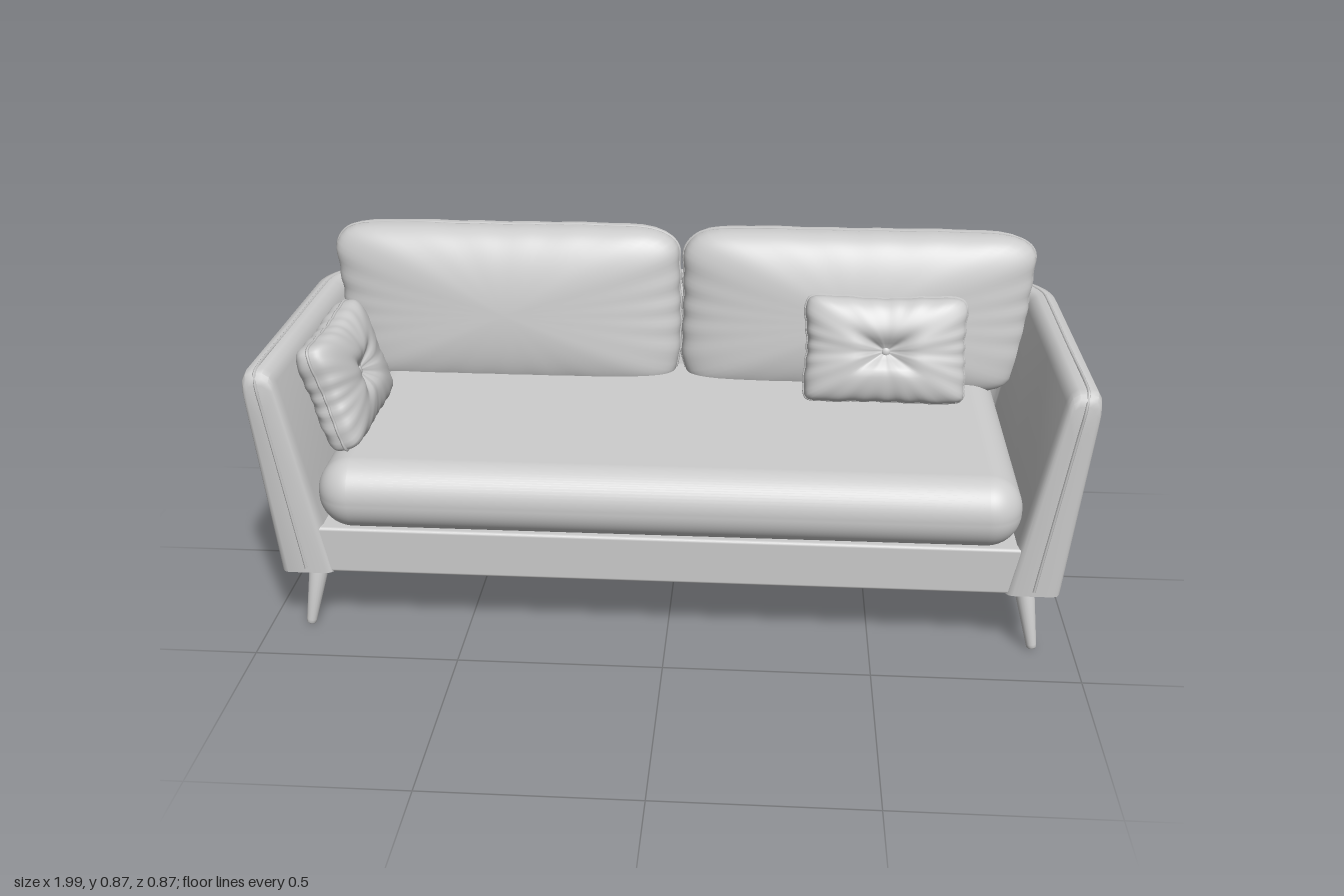
import * as THREE from 'three';
import { mergeVertices, toCreasedNormals } from 'three/addons/utils/BufferGeometryUtils.js';
import { RoundedBoxGeometry } from 'three/addons/geometries/RoundedBoxGeometry.js';

const material = new THREE.MeshStandardMaterial({ color: 0xcccccc });
const openMaterial = new THREE.MeshStandardMaterial({ color: 0xcccccc, side: THREE.DoubleSide });

function add(parent, name, geometry, mat = material) {
  const mesh = new THREE.Mesh(geometry, mat);
  mesh.name = name;
  parent.add(mesh);
  return mesh;
}

function tube(points, radius, closed = false) {
  const curve = new THREE.CatmullRomCurve3(points, closed);
  return new THREE.TubeGeometry(curve, points.length * 3, radius, 5, closed);
}

// Plan of the wrap-around shell: from the left arm front, round the back, to the right arm front
const R = 0.19;
function planPath() {
  const half = [];
  // s shrinks the section to round off the arm front
  for (const [z, s] of [[0.402, 0], [0.402, 0.7], [0.398, 0.85], [0.389, 0.95], [0.37, 1], [0.1, 1]]) {
    half.push({ x: 1, z, nx: 1, nz: 0, s });
  }
  for (let i = 0; i <= 12; i++) {
    const a = (i / 12) * Math.PI / 2;
    const nx = Math.cos(a), nz = -Math.sin(a);
    half.push({ x: 0.81 + R * nx, z: -0.245 + R * nz, nx, nz, s: 1 });
  }
  const mirrored = half.map((p) => ({ ...p, x: -p.x, nx: -p.nx })).reverse();
  return [half, [...half, ...mirrored]];
}

// Point on the shell: t = 1 outside, -1 inside; walls lean outward and thin toward the top
function shellPoint(p, t, y) {
  const k = (0.7 - y) / 0.525;
  const lean = 0.05 * Math.abs(p.nx) + 0.03 * Math.abs(p.nz);
  const thick = 0.08 + 0.055 * k;
  const o = -lean * k - thick * (1 - t) / 2;
  return new THREE.Vector3(p.x + p.nx * o, y, p.z + p.nz * o);
}

function shellGeometry(path) {
  const section = [[1, 0.172], [1, 0.4], [1, 0.62], [0.98, 0.655], [0.86, 0.682], [0.6, 0.697], [0.2, 0.702],
    [-0.5, 0.702], [-0.85, 0.692], [-1, 0.67], [-1, 0.4], [-1, 0.172]];
  const n = section.length, pos = [], idx = [];
  path.forEach((p, i) => {
    for (const [t, y] of section) {
      pos.push(...shellPoint(p, t * p.s, 0.172 + (y - 0.172) * (0.8 + 0.2 * p.s)).toArray());
    }
    if (i === path.length - 1) return;
    for (let j = 0; j < n; j++) {
      const a = i * n + j, b = i * n + (j + 1) % n;
      idx.push(a, a + n, b, b, a + n, b + n);
    }
  });
  const g = new THREE.BufferGeometry();
  g.setAttribute('position', new THREE.Float32BufferAttribute(pos, 3));
  g.setIndex(idx);
  return toCreasedNormals(g, 0.75);
}

// Rounded seat cushion with its flat underside left open
function seatGeometry() {
  const g = mergeVertices(new RoundedBoxGeometry(1.69, 0.178, 0.76, 8, 0.085));
  const normal = g.attributes.normal, kept = [];
  for (let i = 0; i < g.index.count; i += 3) {
    const tri = [0, 1, 2].map((k) => g.index.getX(i + k));
    if (tri.some((v) => normal.getY(v) > -0.95)) kept.push(...tri);
  }
  g.setIndex(kept);
  return g;
}

// Stuffed cushion facing +z, with a piped seam round its outline
function cushion(name, { w, h, d, n, pinch = 0, wave, pleat, tuft = 0, fullness, shape = (v) => v }) {
  const group = new THREE.Group();
  group.name = name;
  const place = (a, c) => {
    const r = Math.sqrt(Math.max(0, 1 - c * c));
    const cx = Math.cos(a), sy = Math.sin(a);
    let f = 1 / Math.pow(Math.abs(cx) ** n + Math.abs(sy) ** n, 1 / n);
    f *= 1 - pinch * Math.cos(2 * a) ** 2 + wave * Math.sin(9 * a) * Math.sin(14 * a + 1);
    let z = d * Math.sign(c) * Math.abs(c) ** fullness;
    z *= 1 + pleat * Math.sin(23 * a) * r ** 8;
    z *= 1 - tuft * Math.exp(-((r / 0.25) ** 2)) - tuft * 0.35 * (0.5 + 0.5 * Math.cos(8 * a)) * r * Math.exp(-r * 1.5);
    return shape(new THREE.Vector3(w * cx * f * r, h * sy * f * r, z));
  };
  let g = new THREE.SphereGeometry(1, 112, 48).rotateX(Math.PI / 2);
  const p = g.attributes.position;
  for (let i = 0; i < p.count; i++) {
    const c0 = THREE.MathUtils.clamp(p.getZ(i), -1, 1);
    const v = place(Math.atan2(p.getY(i), p.getX(i)), Math.sign(c0) * Math.abs(c0) ** 1.6);
    p.setXYZ(i, v.x, v.y, v.z);
  }
  g.deleteAttribute('uv');
  g.deleteAttribute('normal');
  g = mergeVertices(g, 1e-5);
  g.computeVertexNormals();
  add(group, 'padding', g);
  const seam = [];
  for (let i = 0; i < 80; i++) seam.push(place((i / 80) * Math.PI * 2, 0));
  add(group, 'piping', tube(seam, 0.004, true));
  if (tuft) {
    for (const s of [1, -1]) {
      const button = add(group, 'button', new THREE.SphereGeometry(0.011, 16, 10));
      button.scale.z = 0.5;
      button.position.z = s * d * (1 - tuft);
    }
  }
  return group;
}

// Tapered leg between two points
function leg(top, bottom) {
  const dir = top.clone().sub(bottom), len = dir.length();
  const profile = [[0, 0], [0.008, 0], [0.012, 0.004], [0.013, 0.012], [0.027, len], [0, len]];
  const g = new THREE.LatheGeometry(profile.map(([x, y]) => new THREE.Vector2(x, y)), 20);
  g.applyQuaternion(new THREE.Quaternion().setFromUnitVectors(new THREE.Vector3(0, 1, 0), dir.normalize()));
  return g.translate(bottom.x, bottom.y, bottom.z);
}

export function createModel() {
  const sofa = new THREE.Group();
  sofa.name = 'sofa';

  // Arms and back in one wrap-around shell
  const [half, path] = planPath();
  add(sofa, 'armsAndBack', shellGeometry(path));

  // Front rail and the seat, which dips slightly to the front
  add(sofa, 'frontRail', new RoundedBoxGeometry(1.74, 0.122, 0.11, 3, 0.008)).position.set(0, 0.233, 0.34);
  const seat = add(sofa, 'seatCushion', seatGeometry(), openMaterial);
  seat.position.set(0, 0.386, 0.052);
  seat.rotation.x = 0.025;

  for (const s of [1, -1]) {
    const side = s > 0 ? 'left' : 'right';
    const flip = (v) => new THREE.Vector3(v.x * s, v.y, v.z);

    // Seam up the arm front and along its top, and seam down the back
    const seam = [];
    for (let i = 0; i <= 8; i++) seam.push(flip(shellPoint(half[0], 0, 0.185 + i * 0.06)));
    for (const p of half.slice(3)) seam.push(flip(shellPoint(p, 0, 0.595 + 0.106 * p.s)));
    add(sofa, side + 'ArmSeam', tube(seam, 0.004));
    const corner = half[half.length - 1];
    add(sofa, side + 'BackSeam', tube([0.18, 0.4, 0.65].map((y) => flip(shellPoint(corner, 1, y))), 0.002));

    // Legs splay outward
    for (const [name, f] of [['FrontLeg', 1], ['BackLeg', -1]]) {
      add(sofa, side + name, leg(new THREE.Vector3(0.868 * s, 0.185, 0.328 * f), new THREE.Vector3(0.902 * s, 0, 0.358 * f)));
    }

    // Back cushion, wider at its outer top corner and leaning back
    const back = cushion(side + 'BackCushion', {
      w: 0.46, h: 0.213, d: 0.108, n: 8, wave: 0.008, pleat: 0.015, fullness: 0.64,
      shape: (v) => {
        if (v.x * s > 0) v.x *= 1 + 0.25 * (v.y - 0.1);
        v.z -= 0.12 * v.y;
        return v;
      },
    });
    back.position.set(0.464 * s, 0.65, -0.25);
    sofa.add(back);
  }

  // Small tufted pillows
  const pillow = { h: 0.136, d: 0.074, n: 14, pinch: 0.03, wave: 0.014, pleat: 0.06, tuft: 0.5, fullness: 0.62 };
  const leftPillow = cushion('leftPillow', { ...pillow, w: 0.205 });
  leftPillow.position.set(0.533, 0.613, -0.063);
  leftPillow.rotation.x = -0.26;
  const rightPillow = cushion('rightPillow', { ...pillow, w: 0.19, d: 0.07 });
  rightPillow.position.set(-0.815, 0.597, 0.14);
  rightPillow.rotation.set(0, Math.PI / 2, 0.28, 'ZYX');
  sofa.add(leftPillow, rightPillow);

  return sofa;
}
